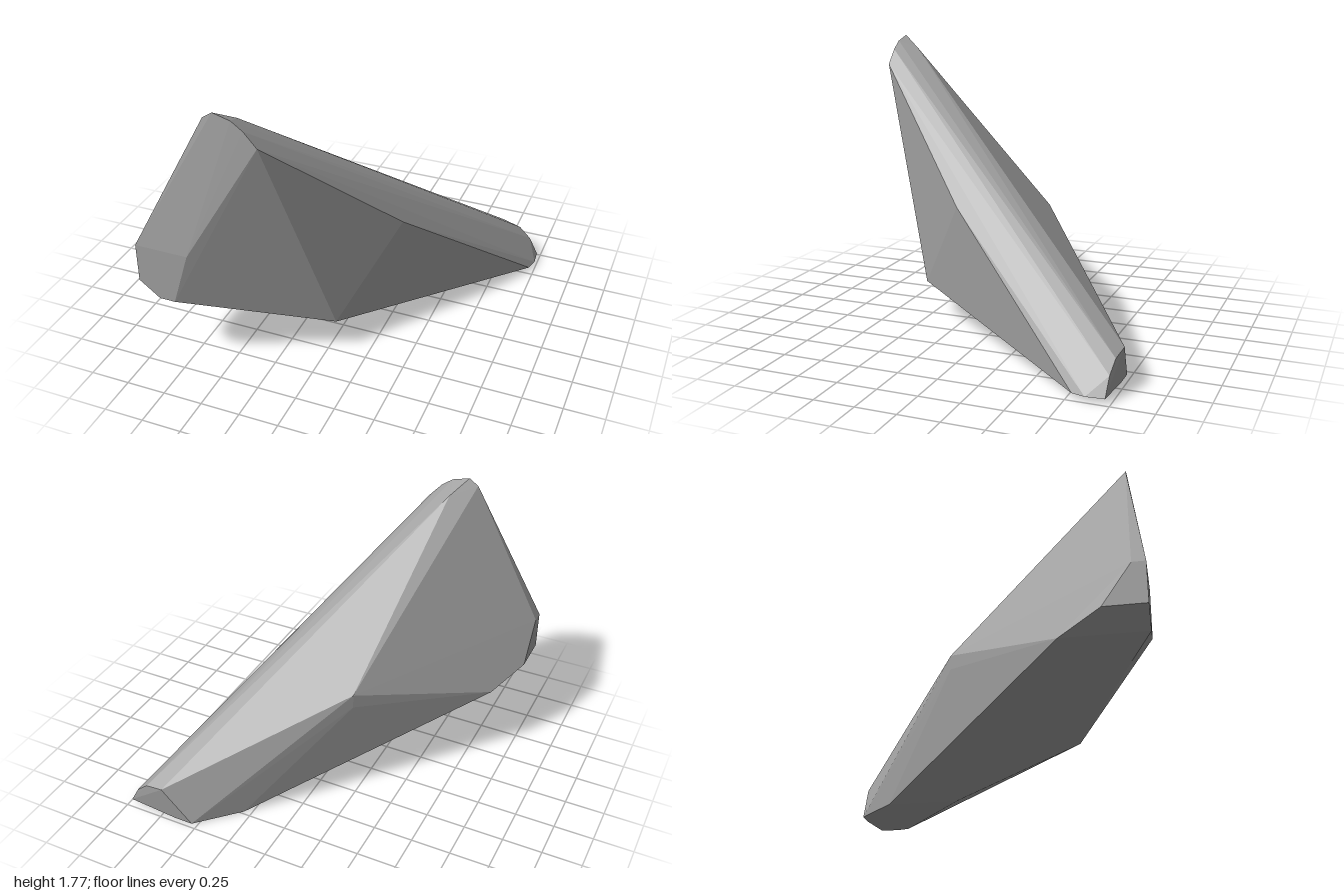
import * as THREE from 'three';
import { ConvexGeometry } from 'three/addons/geometries/ConvexGeometry.js';

export function createModel() {
  const group = new THREE.Group();
  group.name = 'rock';
  const stone = new THREE.MeshStandardMaterial({ color: 0xa0a0a0 });
  stone.name = 'grey stone';

  // blunt face at the tall end
  const face = [
    [-1, 0.85, 1], [-0.66, 0.85, 1], [-1, 0.6, 1], [-0.87, 0.5, 1], [-0.77, 0.5, 1],
    [-1, 0.85, 0.92], [-1, 0.6, 0.75],
  ];
  // rounded peak
  const peak = [
    [-0.54, 1.73, 0.9], [-0.48, 1.77, 0.9], [-0.37, 1.74, 0.9], [-0.3, 1.69, 0.9],
    [-0.22, 1.6, 0.9], [-0.4, 1.69, 0.77],
  ];
  // corners along both flanks
  const flanks = [
    [-0.87, 0.5, 0.5], [-0.22, 0.75, -0.23], [-0.22, 0.66, -0.23],
    [0.06, 0.235, 0.51], [0.36, 0.83, 0.16],
  ];
  // underside
  const base = [
    [-0.68, 0.42, 0.88], [0.3, 0, -0.29], [0.3, 0, -0.73], [0.54, 0, -0.97], [0.66, 0, -0.97],
  ];
  // rounded low tip
  const tip = [
    [0.72, 0.235, -1], [0.84, 0.21, -0.985], [0.92, 0.14, -0.975],
    [0.98, 0.03, -0.97], [0.99, 0.03, -0.86], [0.97, 0.03, -0.78],
  ];

  // faceted stone wrapped around all corners
  const corners = [...face, ...peak, ...flanks, ...base, ...tip];
  const geometry = new ConvexGeometry(corners.map((p) => new THREE.Vector3(...p)));
  const boulder = new THREE.Mesh(geometry, stone);
  boulder.name = 'boulder';
  group.add(boulder);
  return group;
}
